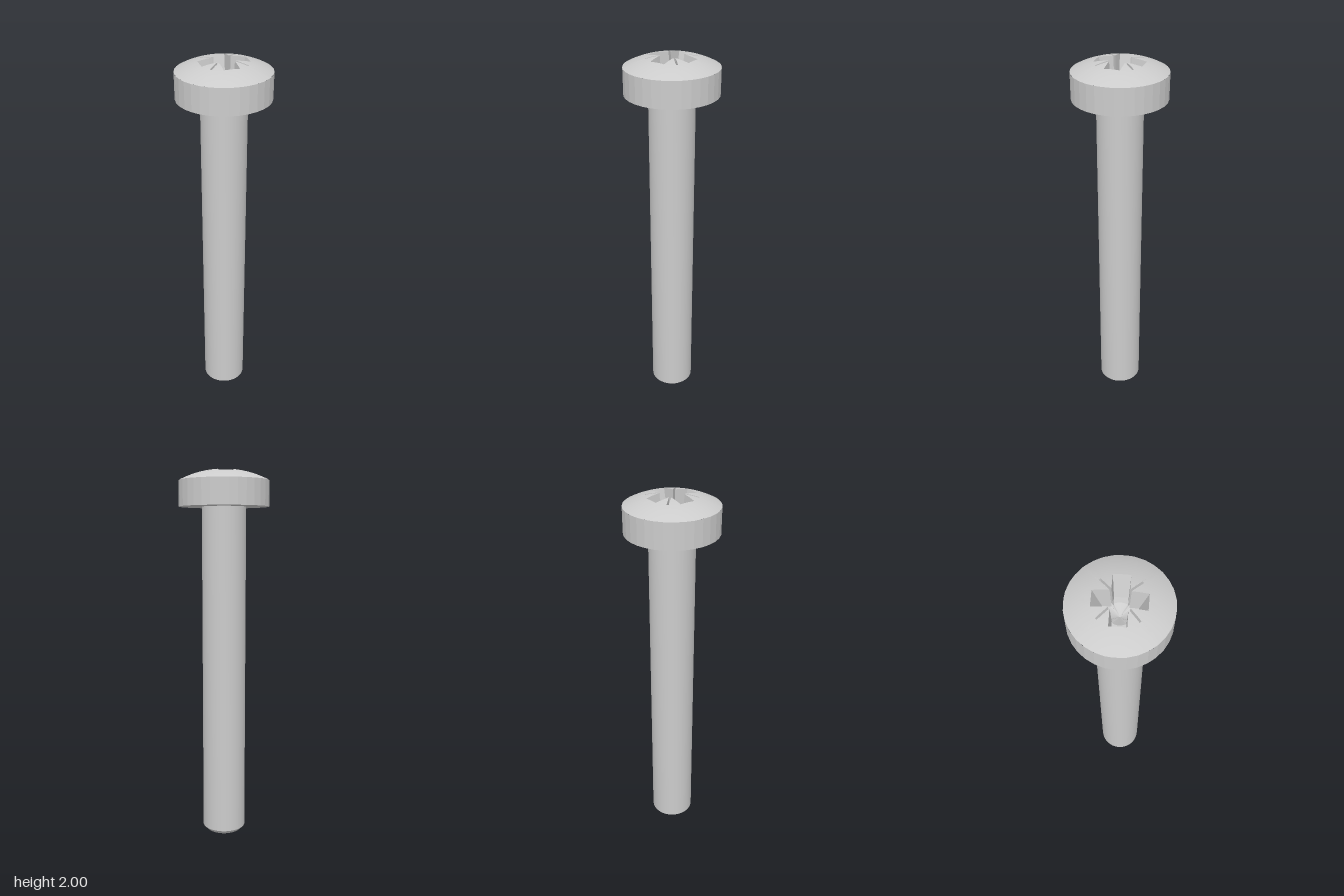
import * as THREE from 'three';
import { toCreasedNormals } from 'three/addons/utils/BufferGeometryUtils.js';

const SIDES = 32;
const HEAD_R = 0.24, HEAD_BOTTOM = 1.81, RIM_Y = 1.945, APEX_Y = 2.0035;
const SHANK_R = 0.118;
const FLOOR_Y = 1.86, PIT_R = 0.055, PIT_Y = 1.83;

// Height of the domed top at a distance r from the axis
const sag = APEX_Y - RIM_Y;
const DOME_R = (HEAD_R * HEAD_R + sag * sag) / (2 * sag);
const domeY = (r) => APEX_Y - DOME_R + Math.sqrt(DOME_R * DOME_R - r * r);

// Radius of the many-sided rim at an angle
function rimRadius(a) {
  const step = (2 * Math.PI) / SIDES;
  const off = a - (Math.floor(a / step) + 0.5) * step;
  return (HEAD_R * Math.cos(step / 2)) / Math.cos(off);
}

// One quarter of the recess outline: [x, z at the top, x, z at the floor]
const QUARTER = [
  [0.121, -0.039, 0.08, -0.032],
  [0.121, 0.039, 0.08, 0.032],
  [0.046, 0.039, 0.039, 0.032],
  [0.0955, 0.0884, 0.0884, 0.0813],
  [0.0884, 0.0955, 0.0813, 0.0884],
  [0.039, 0.046, 0.032, 0.039],
];

// Full outline, turned four times and subdivided
function recessOutline(pieces = 5) {
  const corners = [];
  for (let k = 0; k < 4; k++) {
    for (const p of QUARTER) {
      let [x, z, bx, bz] = p;
      for (let t = 0; t < k; t++) [x, z, bx, bz] = [-z, x, -bz, bx];
      corners.push([x, z, bx, bz]);
    }
  }
  const out = [];
  corners.forEach((p, i) => {
    const q = corners[(i + 1) % corners.length];
    for (let s = 0; s < pieces; s++) {
      out.push(p.map((v, j) => v + ((q[j] - v) * s) / pieces));
    }
  });
  return out;
}

// Skin closed rings of points, listed from the outside inwards
function skinRings(rings) {
  const n = rings[0].length;
  const index = [];
  for (let r = 0; r < rings.length - 1; r++) {
    for (let i = 0; i < n; i++) {
      const j = (i + 1) % n;
      const a = r * n + i, b = r * n + j, c = a + n, d = b + n;
      index.push(a, c, b, b, c, d);
    }
  }
  const g = new THREE.BufferGeometry();
  g.setAttribute('position', new THREE.Float32BufferAttribute(rings.flat(2), 3));
  g.setIndex(index);
  return g;
}

function lathe(points) {
  return new THREE.LatheGeometry(points.map(([x, y]) => new THREE.Vector2(x, y)), SIDES);
}

export function createModel() {
  const group = new THREE.Group();
  const smooth = new THREE.MeshStandardMaterial({ color: 0xcccccc });
  const flat = new THREE.MeshStandardMaterial({ color: 0xcccccc, flatShading: true });
  const add = (name, geometry, material) => {
    const mesh = new THREE.Mesh(geometry, material);
    mesh.name = name;
    group.add(mesh);
  };

  // Shank with a chamfered tip
  const shank = lathe([[0, 0], [0.095, 0], [SHANK_R, 0.023], [SHANK_R, HEAD_BOTTOM]]);
  add('shank', toCreasedNormals(shank, 0.5), smooth);

  // Underside and side wall of the head
  add('headSide', lathe([[SHANK_R, HEAD_BOTTOM], [HEAD_R, HEAD_BOTTOM], [HEAD_R, RIM_Y]]), flat);

  // Domed top, spread from the rim to the recess outline
  const outline = recessOutline();
  const STEPS = 8;
  const dome = [];
  for (let s = 0; s <= STEPS; s++) {
    dome.push(outline.map(([x, z]) => {
      const a = Math.atan2(z, x);
      const r = THREE.MathUtils.lerp(rimRadius(a), Math.hypot(x, z), s / STEPS);
      return [r * Math.cos(a), s === 0 ? RIM_Y : domeY(r), r * Math.sin(a)];
    }));
  }
  add('headDome', toCreasedNormals(skinRings(dome), 0.5), smooth);

  // Cross recess: tapered walls, flat floor and a conical pit
  const top = outline.map(([x, z]) => [x, domeY(Math.hypot(x, z)), z]);
  const floor = outline.map(([, , x, z]) => [x, FLOOR_Y, z]);
  const pit = floor.map(([x, , z]) => {
    const k = Math.min(1, PIT_R / Math.hypot(x, z));
    return [x * k, FLOOR_Y, z * k];
  });
  const tip = pit.map(() => [0, PIT_Y, 0]);
  add('crossRecess', skinRings([top, floor, pit, tip]), flat);

  return group;
}
